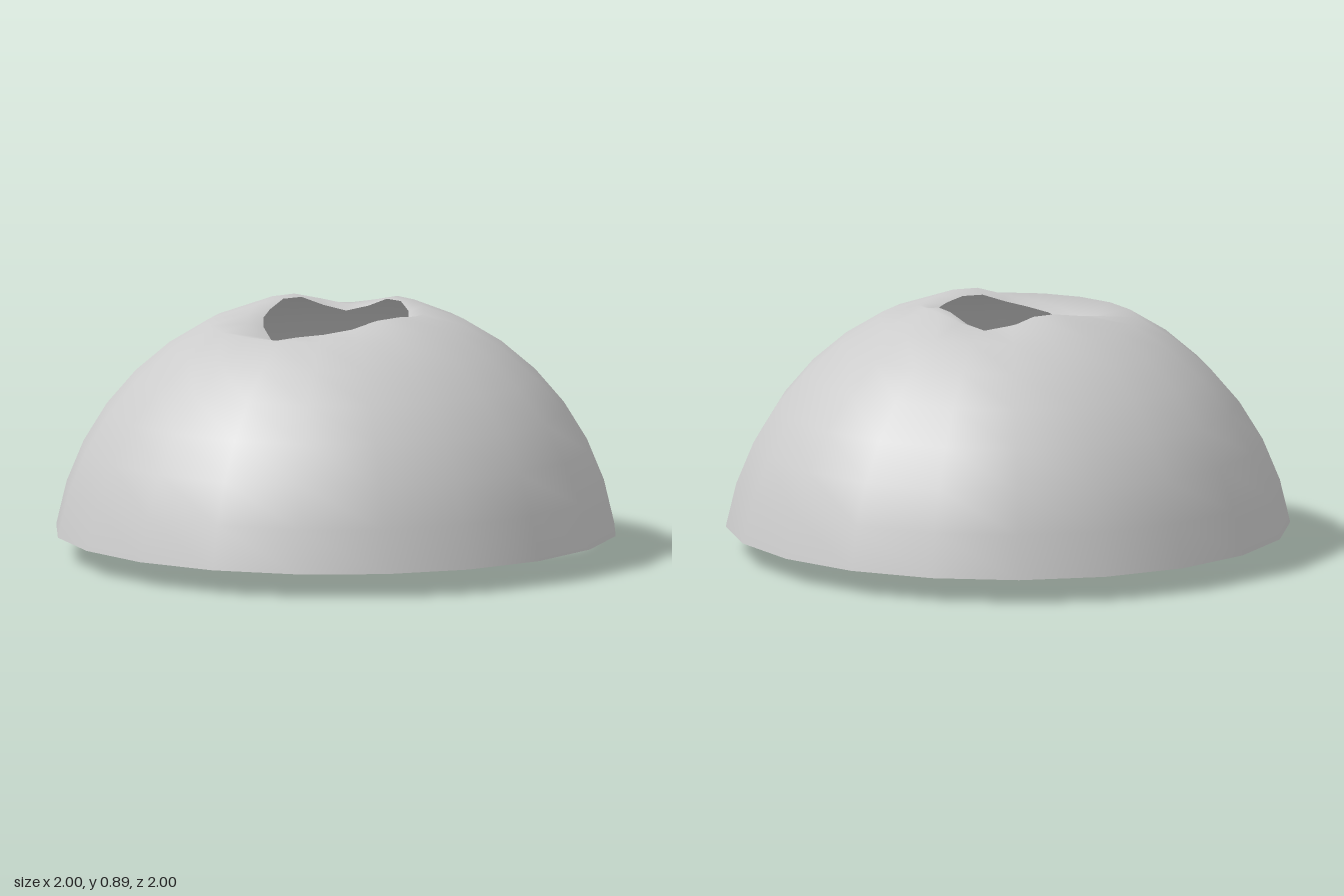
import * as THREE from 'three';
import { mergeVertices } from 'three/addons/utils/BufferGeometryUtils.js';

const material = new THREE.MeshStandardMaterial({ color: 0xcccccc, side: THREE.DoubleSide });

function add(parent, geometry, name) {
  const mesh = new THREE.Mesh(geometry, material);
  mesh.name = name;
  parent.add(mesh);
  return mesh;
}

// Weld seams so the recomputed normals are smooth
function smooth(geometry) {
  geometry.deleteAttribute('uv');
  geometry.deleteAttribute('normal');
  const welded = mergeVertices(geometry, 1e-4);
  welded.computeVertexNormals();
  return welded;
}

// Sagging edge of the smoke hole, sampled every 45 degrees from the front towards +x
const edgeHeights = [0.82, 0.87, 0.85, 0.89, 0.83, 0.89, 0.84, 0.78];
function edgeHeight(x, z) {
  const t = ((Math.atan2(x, z) / (Math.PI / 4)) + 8) % 8;
  const i = Math.floor(t);
  const f = t - i, s = f * f * (3 - 2 * f);
  return edgeHeights[i % 8] * (1 - s) + edgeHeights[(i + 1) % 8] * s;
}

// Twenty-sided dome, open below, with a smoke hole at the top
function domeGeometry() {
  const R = 1.0125, points = [];
  for (let k = 1; k <= 8; k++) {
    const a = k * Math.PI / 20;
    points.push(new THREE.Vector2(R * Math.cos(a), R * Math.sin(a) - 0.073));
  }
  points.push(new THREE.Vector2(0.26, 0.88));
  const geo = new THREE.LatheGeometry(points, 20);
  const p = geo.attributes.position;
  for (let i = 0; i < p.count; i++) {
    const x = p.getX(i), z = p.getZ(i), r = Math.hypot(x, z);
    if (r < 0.28) p.setY(i, edgeHeight(x, z));
    else if (r < 0.35) p.setY(i, Math.min(0.888, edgeHeight(x, z) + 0.015));
  }
  return smooth(geo);
}

// Uneven bed of ash
function ashGeometry() {
  const points = [0.4, 0.3, 0.2, 0.1, 0].map((r) => new THREE.Vector2(r, 0.12 - 0.06 * r));
  const geo = new THREE.LatheGeometry(points, 20);
  const p = geo.attributes.position;
  for (let i = 0; i < p.count; i++) {
    const x = p.getX(i), z = p.getZ(i);
    p.setY(i, p.getY(i) + 0.008 * Math.sin(17 * x + 2) * Math.cos(19 * z));
  }
  return smooth(geo);
}

// Rounded, lopsided, blocky stone
function stoneGeometry(seed) {
  const geo = new THREE.IcosahedronGeometry(1, 4);
  const p = geo.attributes.position, v = new THREE.Vector3();
  for (let i = 0; i < p.count; i++) {
    v.fromBufferAttribute(p, i);
    const n = Math.pow(v.x ** 6 + v.y ** 6 + v.z ** 6, 1 / 6);
    v.multiplyScalar(0.92 / n);
    const taper = 1 + 0.22 * Math.sin(seed * 2.3) * v.x;
    const lean = 0.25 * Math.sin(seed * 1.7) * v.y;
    p.setXYZ(i, v.x + lean, v.y * taper, v.z * taper + lean * 0.5);
  }
  return smooth(geo);
}

export function createModel() {
  const model = new THREE.Group();
  add(model, domeGeometry(), 'domeCover');

  const hearth = new THREE.Group();
  hearth.name = 'hearth';
  model.add(hearth);
  add(hearth, ashGeometry(), 'ashBed');

  // Ring of stones: [angle from front in degrees, half length, half height, half depth, bottom]
  const stones = [
    [0, 0.075, 0.045, 0.045, 0.055], [23, 0.05, 0.035, 0.04, 0.06], [42, 0.055, 0.04, 0.045, 0.05],
    [62, 0.045, 0.035, 0.04, 0.06], [81, 0.06, 0.04, 0.045, 0.05], [101, 0.055, 0.045, 0.045, 0.05],
    [120, 0.055, 0.055, 0.05, 0.035], [159, 0.075, 0.075, 0.055, 0.015], [182, 0.05, 0.045, 0.045, 0.04],
    [202, 0.075, 0.07, 0.055, 0.035], [223, 0.05, 0.05, 0.045, 0.05], [242, 0.055, 0.04, 0.045, 0.06],
    [261, 0.05, 0.04, 0.045, 0.06], [280, 0.055, 0.035, 0.04, 0.06], [299, 0.045, 0.04, 0.04, 0.05],
    [318, 0.065, 0.05, 0.05, 0.03], [339, 0.055, 0.04, 0.045, 0.05],
  ];
  stones.forEach(([degrees, l, h, d, bottom], i) => {
    const a = THREE.MathUtils.degToRad(degrees);
    const stone = add(hearth, stoneGeometry(i + 1), 'hearthStone');
    stone.scale.set(l, h, d);
    stone.position.set(0.385 * Math.sin(a), bottom + h, 0.4 * Math.cos(a));
    stone.rotation.set(0.15 * Math.sin(i * 2.1), a + 0.25 * Math.sin(i * 3.7), 0.2 * Math.sin(i * 1.3));
  });

  // Squared block leaning against the ring
  const block = add(hearth, new THREE.BoxGeometry(0.12, 0.11, 0.22), 'squareBlock');
  block.position.set(0.37, 0.117, -0.29);
  block.rotation.x = -Math.PI / 4;

  return model;
}
